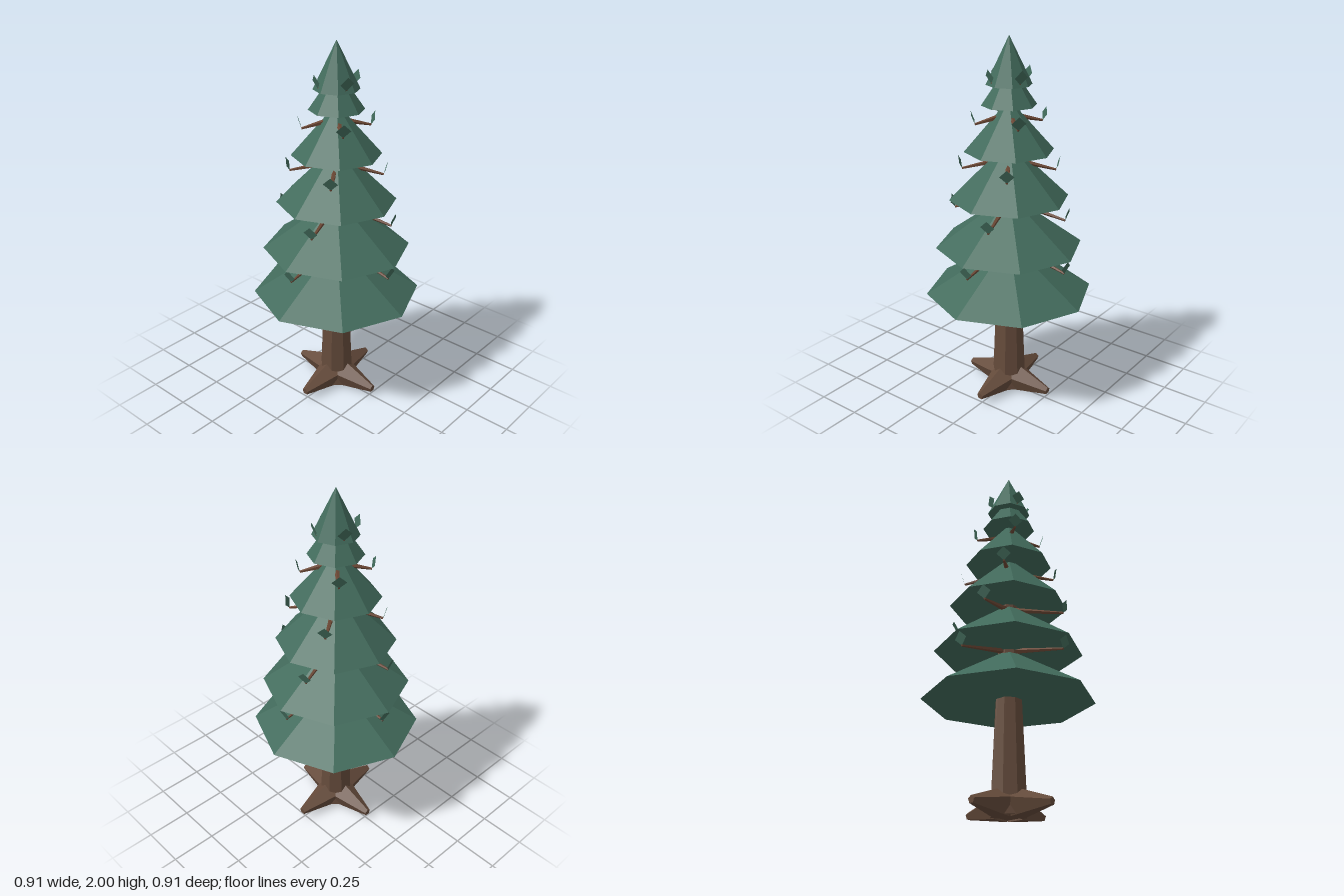
import * as THREE from 'three';

export function createModel() {
  const tree = new THREE.Group();
  tree.name = 'pineTree';

  const mat = (name, color, side = THREE.FrontSide) => {
    const m = new THREE.MeshStandardMaterial({ color, side, flatShading: true });
    m.name = name;
    return m;
  };
  const bark = mat('bark', 0x654b3b);
  const twig = mat('twigBrown', 0x6b4734);
  const needle = mat('needleGreen', 0x426b5c);
  const leafGreen = mat('leafGreen', 0x416a5a, THREE.DoubleSide);

  const add = (parent, name, geometry, material) => {
    const mesh = new THREE.Mesh(geometry, material);
    mesh.name = name;
    parent.add(mesh);
    return mesh;
  };

  // Tapered octagonal trunk with flat sides facing front, back, left and right
  const trunk = add(tree, 'trunk', new THREE.CylinderGeometry(0.035, 0.097, 1.49, 8), bark);
  trunk.position.y = 0.755;
  trunk.rotation.y = Math.PI / 8;

  // Four five-sided roots spreading from the foot of the trunk
  const rootGeometry = new THREE.CylinderGeometry(0.02, 0.08, 0.215, 5);
  rootGeometry.rotateX(-Math.PI / 2 - 0.07);
  rootGeometry.translate(0, 0.0585, -0.163);
  for (let i = 0; i < 4; i++) {
    add(tree, 'root', rootGeometry, bark).rotation.y = i * Math.PI / 2;
  }

  // Stacked octagonal foliage tiers: [rim radius, rim height, apex height]
  const tiers = [
    [0.456, 0.61, 0.9],
    [0.397, 0.88, 1.17],
    [0.32, 1.15, 1.46],
    [0.237, 1.41, 1.68],
    [0.145, 1.65, 1.86],
    [0.12, 1.755, 2.0],
  ];
  for (const [radius, low, high] of tiers) {
    const tier = add(tree, 'foliageTier', new THREE.ConeGeometry(radius, high - low, 8), needle);
    tier.position.y = (low + high) / 2;
  }

  // Diamond leaf, standing on its lower corner and leaning outward (+x)
  const leafGeometry = new THREE.PlaneGeometry(0.054, 0.054);
  leafGeometry.rotateZ(Math.PI / 4);
  leafGeometry.rotateY(Math.PI / 2);
  leafGeometry.rotateZ(-0.28);

  // Rings of four drooping branches, each ring turned further: [leaf radius, leaf height]
  const rings = [[0.37, 0.84], [0.323, 1.095], [0.257, 1.345], [0.19, 1.595], [0.114, 1.805]];
  rings.forEach(([radius, height], ring) => {
    const tip = new THREE.Vector3(radius - 0.01, height - 0.036, 0);
    const start = new THREE.Vector3(0.02, tip.y + 0.24 * (tip.x - 0.02), 0);
    const along = tip.clone().sub(start);
    for (let i = 0; i < 4; i++) {
      const branch = new THREE.Group();
      branch.name = 'branch';
      branch.rotation.y = ring * 0.3 + i * Math.PI / 2;
      const stem = add(branch, 'branchStem',
        new THREE.CylinderGeometry(0.006, 0.017, along.length(), 5), twig);
      stem.position.copy(start).add(tip).multiplyScalar(0.5);
      stem.quaternion.setFromUnitVectors(new THREE.Vector3(0, 1, 0), along.clone().normalize());
      add(branch, 'leaf', leafGeometry, leafGreen).position.set(radius, height, 0);
      tree.add(branch);
    }
  });

  return tree;
}
